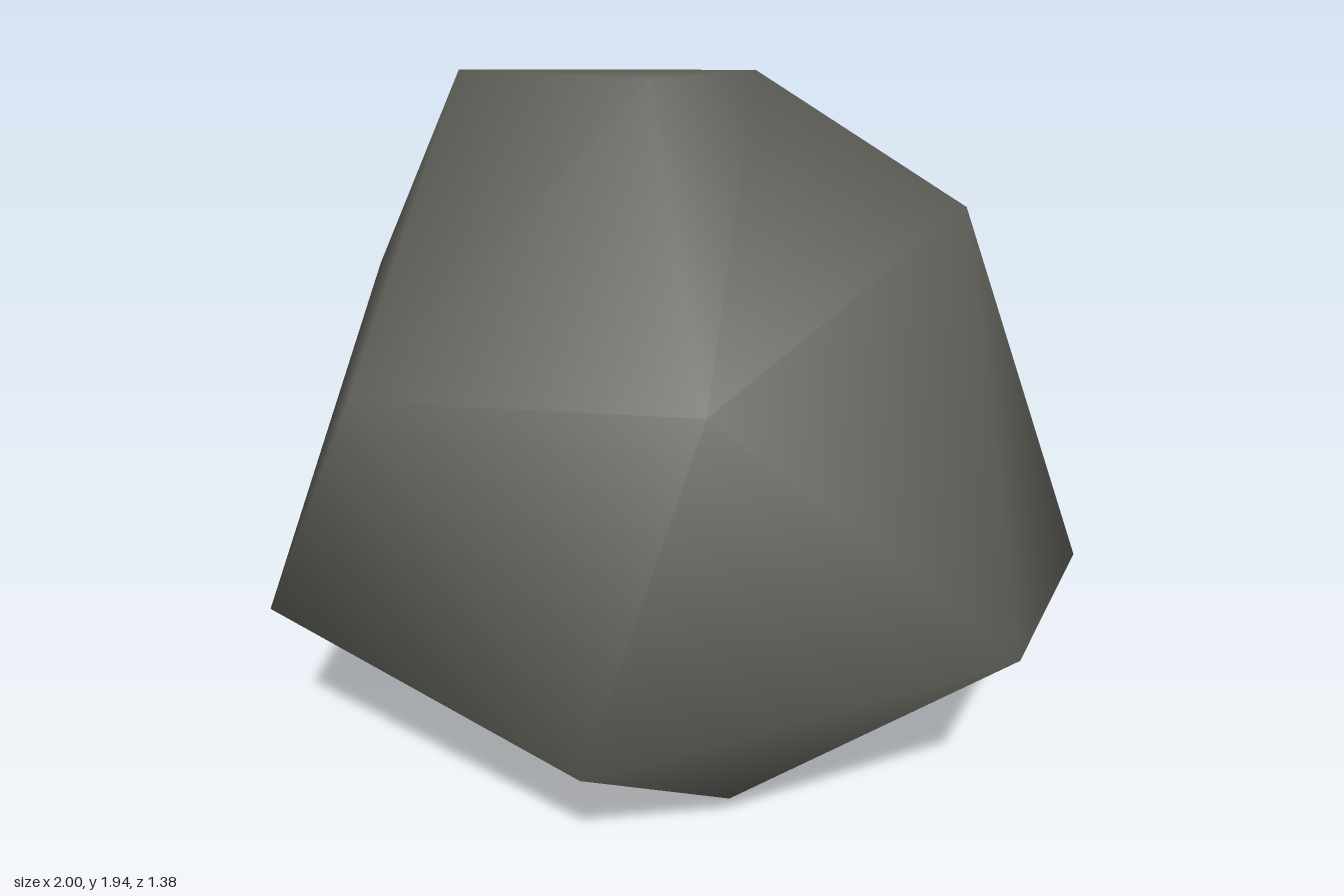
import * as THREE from 'three';
import { ConvexGeometry } from 'three/addons/geometries/ConvexGeometry.js';

// Corners of the boulder
const CORNERS = {
  crownRight: [-0.55, 1.91, -0.08], crownTop: [-0.07, 1.94, 0], crownBack: [0.12, 1.89, -0.29], crownLeft: [0.65, 1.65, -0.12],
  browRight: [-0.57, 1.42, 0.685], browLeft: [0.2, 1.46, 0.68], shoulder: [-0.92, 1.26, -0.39],
  waistRight: [-1, 0.6, 0.34], waistLeft: [0.88, 0.71, 0.32], belly: [-0.11, 0.425, 0.625], rump: [0, 0.55, -0.5],
  footRight: [-0.41, 0, 0], footFront: [0.18, 0.095, 0.23],
  backTop: [0.05, 1.55, -0.69], backLeft: [1, 0.63, -0.31], footBack: [0.08, 0.02, -0.05],
};
const names = Object.keys(CORNERS);
const points = names.map((name) => new THREE.Vector3(...CORNERS[name]));
const cornerOf = (name) => names.indexOf(name);

// Corners where the undercut at the back meets the rest with a sharp edge
const SHARP = ['backTop', 'backLeft', 'footBack'].map(cornerOf);

// Triangles of the outer hull, as triples of corner numbers
function hullFaces() {
  const pos = new ConvexGeometry(points).attributes.position;
  const faces = [];
  for (let i = 0; i < pos.count; i += 3) {
    faces.push([0, 1, 2].map((k) => {
      const v = new THREE.Vector3().fromBufferAttribute(pos, i + k);
      return points.findIndex((p) => p.distanceTo(v) < 0.001);
    }));
  }
  return faces;
}

// Replaces the edge a-b by the other diagonal of its two triangles
function flipEdge(faces, nameA, nameB) {
  const a = cornerOf(nameA);
  const b = cornerOf(nameB);
  const pair = faces.filter((f) => f.includes(a) && f.includes(b));
  if (pair.length !== 2) return;
  const [c, d] = pair.map((f) => f.find((v) => v !== a && v !== b));
  pair[0].splice(0, 3, ...pair[0].map((v) => (v === b ? d : v)));
  pair[1].splice(0, 3, ...pair[1].map((v) => (v === a ? c : v)));
}

// Smooth normals, except at the sharp corners, where the undercut is kept apart
function smoothGeometry(faces) {
  const sums = new Map();
  const positions = [];
  const keys = [];
  for (const face of faces) {
    const [a, b, c] = face.map((v) => points[v]);
    const n = b.clone().sub(a).cross(c.clone().sub(a));
    const dir = n.clone().normalize();
    const undercut = dir.z < -0.2 && dir.y < 0;
    for (const v of face) {
      const key = `${v} ${undercut && SHARP.includes(v)}`;
      if (!sums.has(key)) sums.set(key, new THREE.Vector3());
      sums.get(key).add(n);
      keys.push(key);
      positions.push(...points[v].toArray());
    }
  }
  sums.forEach((n) => n.normalize());
  const normals = keys.flatMap((key) => sums.get(key).toArray());
  const geometry = new THREE.BufferGeometry();
  geometry.setAttribute('position', new THREE.Float32BufferAttribute(positions, 3));
  geometry.setAttribute('normal', new THREE.Float32BufferAttribute(normals, 3));
  return geometry;
}

export function createModel() {
  const group = new THREE.Group();
  group.name = 'rock';
  const stone = new THREE.MeshStandardMaterial({ color: 0x64645d });
  stone.name = 'stone grey';

  // Shallow valley from the back of the crown to the brow, and a dip behind the crown
  const faces = hullFaces();
  flipEdge(faces, 'crownTop', 'crownLeft');
  flipEdge(faces, 'crownRight', 'backTop');

  const boulder = new THREE.Mesh(smoothGeometry(faces), stone);
  boulder.name = 'boulder';
  group.add(boulder);
  return group;
}
